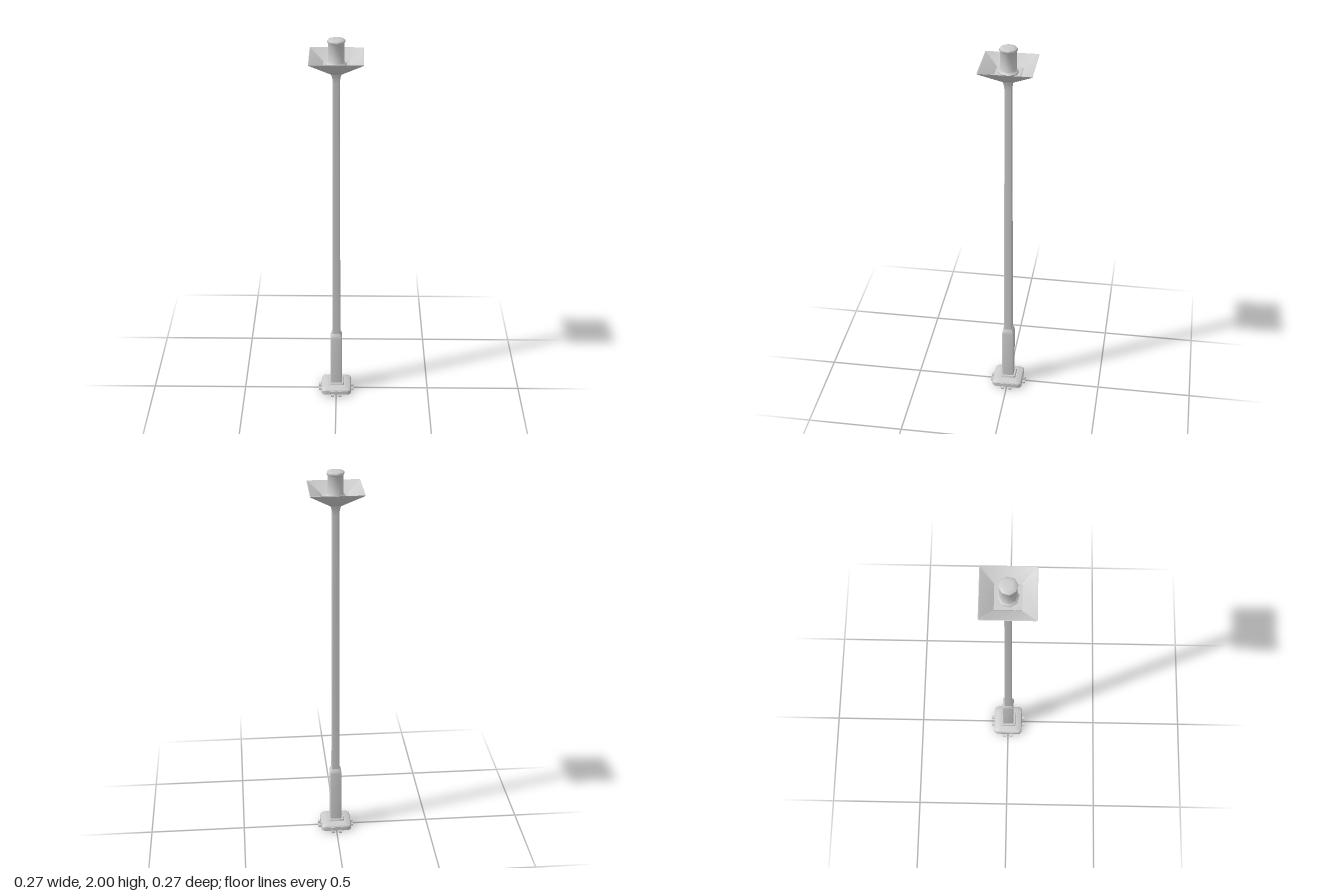
import * as THREE from 'three';
import { toCreasedNormals } from 'three/addons/utils/BufferGeometryUtils.js';

const material = new THREE.MeshStandardMaterial({ color: 0xcccccc, side: THREE.DoubleSide });
const CORNER_STEPS = 4;

// Outline of a rounded square, running from +x towards -z
function squareRing(half, radius) {
  const points = [];
  for (let c = 0; c < 4; c++) {
    const mid = Math.PI / 4 + c * Math.PI / 2;
    const cx = Math.sign(Math.cos(mid)) * (half - radius);
    const cy = Math.sign(Math.sin(mid)) * (half - radius);
    for (let i = 0; i <= CORNER_STEPS; i++) {
      const a = (c + i / CORNER_STEPS) * Math.PI / 2;
      points.push([cx + radius * Math.cos(a), -(cy + radius * Math.sin(a))]);
    }
  }
  return points;
}

// Skin over rounded squares given as [y, half width, corner radius]
function squareLoft(sections, capBottom = false, capTop = false) {
  const positions = [], index = [];
  const n = 4 * (CORNER_STEPS + 1);
  for (const [y, half, radius] of sections) {
    for (const [x, z] of squareRing(half, radius)) positions.push(x, y, z);
  }
  for (let s = 0; s < sections.length - 1; s++) {
    for (let i = 0; i < n; i++) {
      const a = s * n + i, b = s * n + (i + 1) % n;
      index.push(a, b, b + n, a, b + n, a + n);
    }
  }
  const cap = (s, up) => {
    const centre = positions.length / 3;
    positions.push(0, sections[s][0], 0);
    for (let i = 0; i < n; i++) {
      const a = s * n + i, b = s * n + (i + 1) % n;
      index.push(centre, up ? a : b, up ? b : a);
    }
  };
  if (capBottom) cap(0, false);
  if (capTop) cap(sections.length - 1, true);
  const geometry = new THREE.BufferGeometry();
  geometry.setAttribute('position', new THREE.Float32BufferAttribute(positions, 3));
  geometry.setIndex(index);
  return toCreasedNormals(geometry, 0.55);
}

export function createModel() {
  const model = new THREE.Group();
  const add = (name, geometry, parent = model) => {
    const mesh = new THREE.Mesh(geometry, material);
    mesh.name = name;
    parent.add(mesh);
    return mesh;
  };

  // Hollow base plinth: inner walls, rim, outer walls, sloped shoulder, collar
  add('basePlinth', squareLoft([
    [0.028, 0.03, 0.008], [0.028, 0.066, 0.016], [0.006, 0.07, 0.02],
    [0.006, 0.08, 0.022], [0.028, 0.08, 0.022], [0.034, 0.076, 0.022],
    [0.043, 0.052, 0.016], [0.043, 0.043, 0.012], [0.052, 0.04, 0.01], [0.052, 0.028, 0.006],
  ]));

  // Socket ring under the plinth
  add('socketRing', new THREE.LatheGeometry(
    [[0.026, 0.03], [0.026, 0.006], [0.036, 0.006], [0.036, 0.03]]
      .map(([r, y]) => new THREE.Vector2(r, y)), 20));

  // Anchor tabs, two per side, joined underneath to the ring
  const anchors = new THREE.Group();
  anchors.name = 'anchorTabs';
  for (let side = 0; side < 4; side++) {
    const group = new THREE.Group();
    group.name = 'sideTabs';
    group.rotation.y = side * Math.PI / 2;
    for (const x of [-0.02, 0.02]) {
      const tab = add('tab', new THREE.BoxGeometry(0.016, 0.01, 0.033), group);
      tab.position.set(x, 0.005, 0.0785);
      const post = add('tabPost', new THREE.BoxGeometry(0.02, 0.02, 0.01), group);
      post.position.set(x, 0.016, 0.077);
    }
    const rib = add('rib', new THREE.BoxGeometry(0.006, 0.014, 0.036), group);
    rib.position.set(0, 0.02, 0.052);
    anchors.add(group);
  }
  model.add(anchors);

  // Thick lower column with a chamfered shoulder
  add('lowerColumn', squareLoft([
    [0.045, 0.031, 0.005], [0.33, 0.031, 0.005], [0.343, 0.029, 0.005], [0.357, 0.022, 0.004],
  ], true, true));

  // Slender tapering pole, flared under the shade
  add('pole', squareLoft([
    [0.34, 0.0215, 0.004], [1.78, 0.018, 0.004], [1.8, 0.019, 0.004],
    [1.815, 0.022, 0.004], [1.83, 0.026, 0.004],
  ], true, true));

  // Inverted pyramid dish with a thin rim
  add('dish', squareLoft([
    [1.824, 0.02, 0.003], [1.909, 0.131, 0.006], [1.914, 0.133, 0.006],
    [1.914, 0.13, 0.006], [1.863, 0.062, 0.003],
  ], true));

  // Floor plate inside the dish
  add('dishFloor', squareLoft([[1.858, 0.064, 0.004], [1.87, 0.064, 0.004]], true, true));

  // Eight-sided lamp: foot flange, body, cap with a slightly domed top
  const lampProfile = [
    [0.051, 1.868], [0.051, 1.876], [0.041, 1.884], [0.04, 1.98],
    [0.045, 1.985], [0.045, 1.994], [0.042, 1.997], [0.022, 1.999], [0, 2],
  ].map(([r, y]) => new THREE.Vector2(r, y));
  const lamp = add('lamp', toCreasedNormals(new THREE.LatheGeometry(lampProfile, 8), 0.85));
  lamp.rotation.y = 0.14;

  return model;
}
